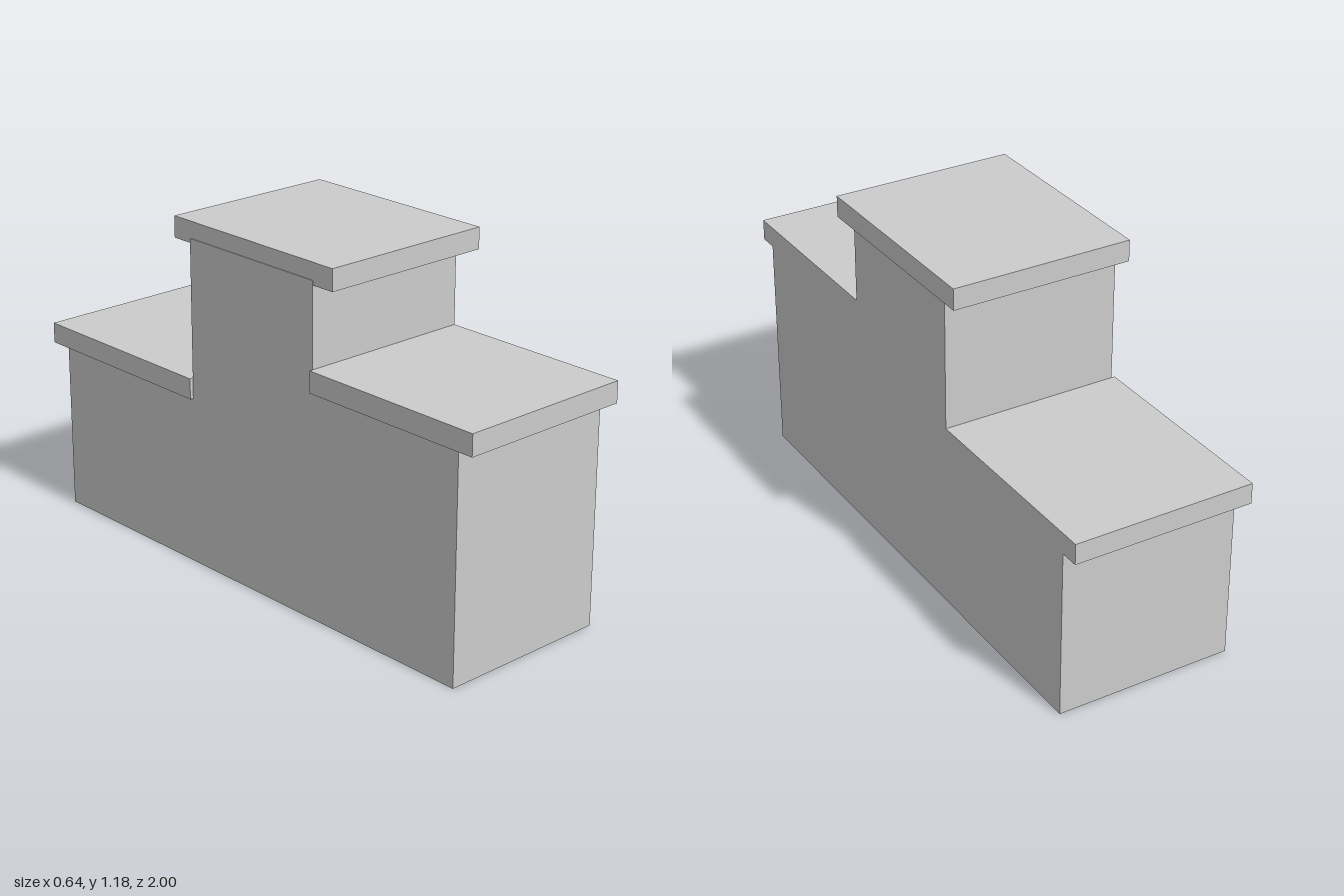
import * as THREE from 'three';

export function createModel() {
  const model = new THREE.Group();
  model.name = 'steppedBlock';
  const material = new THREE.MeshStandardMaterial({ color: 0xcccccc, flatShading: true });

  function add(name, geometry) {
    const mesh = new THREE.Mesh(geometry, material);
    mesh.name = name;
    model.add(mesh);
  }

  // Box given by its limits on each axis
  function slab(name, [x0, x1], [y0, y1], [z0, z1]) {
    const geometry = new THREE.BoxGeometry(x1 - x0, y1 - y0, z1 - z0);
    geometry.translate((x0 + x1) / 2, (y0 + y1) / 2, (z0 + z1) / 2);
    add(name, geometry);
  }

  // Stepped body: side profile as (z, y), extruded across the width
  const profile = [
    [-0.935, 0], [0.935, 0], [0.935, 0.77], [0.315, 0.77],
    [0.315, 1.128], [-0.26, 1.128], [-0.26, 0.585], [-0.935, 0.585],
  ].map(([z, y]) => new THREE.Vector2(z, y));
  const body = new THREE.ExtrudeGeometry(new THREE.Shape(profile), { depth: 0.615, bevelEnabled: false });
  body.rotateY(-Math.PI / 2);
  body.translate(0.305, 0, 0);
  add('body', body);

  // Overhanging slabs on the three levels
  slab('frontSlab', [-0.322, 0.305], [0.77, 0.843], [0.315, 1]);
  slab('topSlab', [-0.307, 0.32], [1.112, 1.185], [-0.34, 0.4]);
  slab('rearSlab', [-0.322, 0.305], [0.585, 0.656], [-1, -0.26]);

  return model;
}
